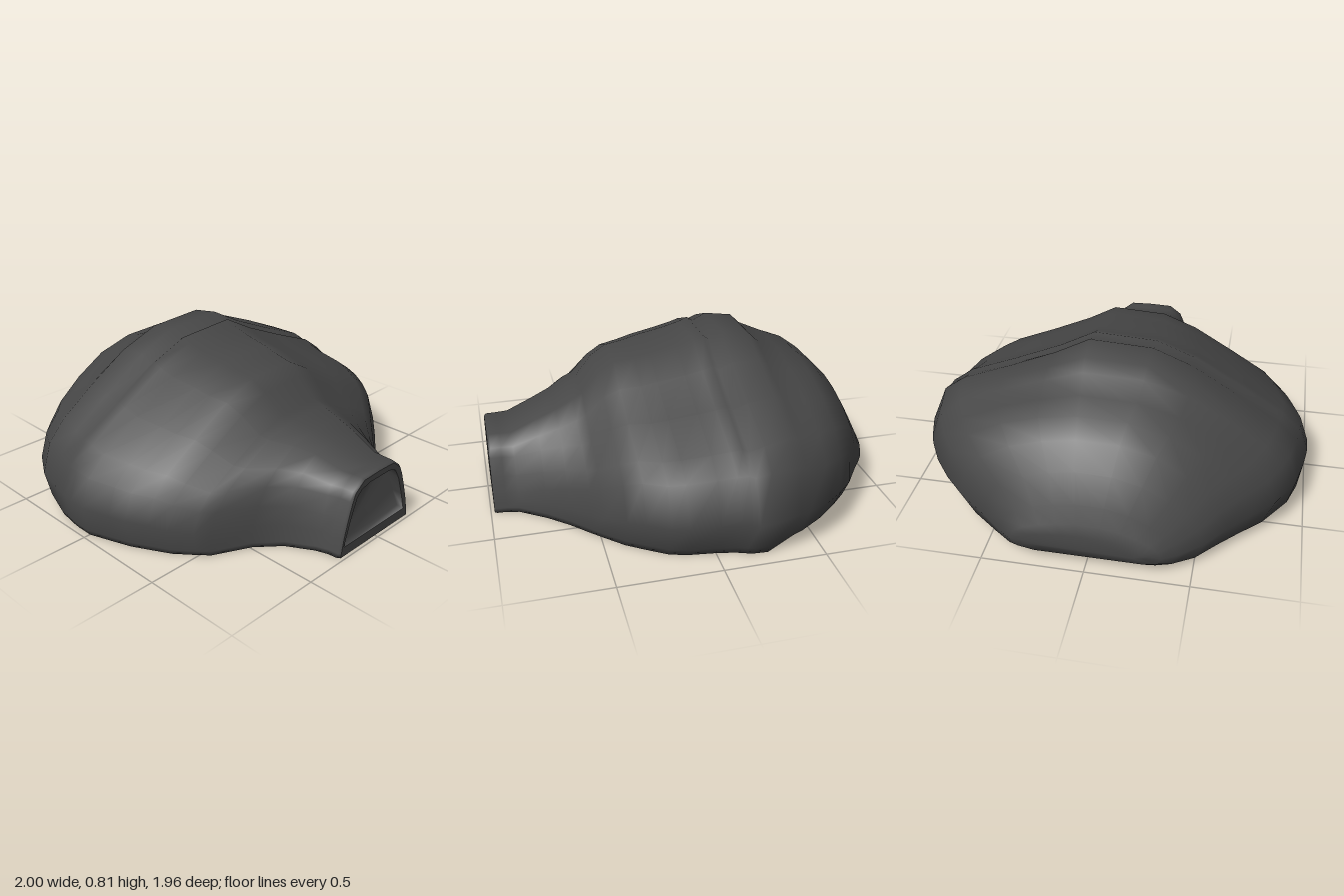
import * as THREE from 'three';

// Cross-section outlines: [side, height] from the -x foot over the top to the +x foot
const MOUTH = [[-1, 0], [-.985, .06], [-.93, .28], [-.85, .5], [-.75, .74], [-.68, .86], [-.45, .99], [0, 1],
  [.42, .99], [.64, .86], [.72, .74], [.83, .5], [.92, .28], [.96, .15], [.985, .06], [1, 0]];
const TENT = [[-.965, 0], [-.98, .045], [-1, .22], [-.95, .41], [-.85, .535], [-.64, .7], [-.4, .88], [-.2, .98],
  [.12, 1], [.3, .88], [.55, .745], [.8, .62], [.91, .52], [1, .26], [.935, .05], [.92, 0]];
const ROUND = [[-.76, 0], [-.93, .07], [-1, .26], [-.95, .45], [-.85, .6], [-.68, .76], [-.46, .91], [-.2, .99],
  [.12, 1], [.36, .95], [.6, .86], [.82, .72], [.95, .54], [1, .28], [.9, .08], [.68, 0]];

// Stations front to back: [z, left reach, right reach, top, underside]
const STATIONS = [
  [.982, .265, .265, .36, 0], [.97, .275, .272, .37, 0], [.92, .28, .275, .37, 0], [.86, .3, .29, .37, 0],
  [.73, .38, .39, .43, 0], [.63, .5, .49, .47, 0],
  [.54, .69, .6, .51, 0], [.49, .74, .66, .535, 0], [.4, .82, .76, .635, 0], [.32, .865, .82, .685, 0],
  [.22, .92, .89, .7, 0], [.14, .95, .92, .72, 0], [0, 1, .94, .745, 0], [-.09, 1, .96, .77, 0],
  [-.14, .995, .98, .79, 0], [-.17, .99, .99, .77, 0], [-.24, .98, .995, .807, 0], [-.38, .95, .95, .785, 0],
  [-.43, .92, .93, .735, 0], [-.55, .85, .86, .68, 0], [-.66, .74, .77, .64, 0], [-.75, .64, .67, .575, 0],
  [-.85, .54, .52, .47, .005], [-.92, .43, .42, .34, .025], [-.96, .36, .36, .25, .06], [-.98, .3, .3, .2, .11]
];

// Doorway outline from its left foot over the top to its right foot
const OPENING = [[-.245, .05], [-.205, .18], [-.165, .285], [-.13, .315], [-.07, .328], [.08, .328],
  [.13, .31], [.165, .25], [.2, .15], [.23, .05]];
const FRONT = STATIONS[0][0];

const clamp01 = t => Math.min(1, Math.max(0, t));

// Points of one cross-section, blended between the outlines by depth
function section([z, left, right, top, base]) {
  const toMouth = clamp01((z - .45) / .42), toRound = clamp01((-.25 - z) / .4);
  return TENT.map((p, i) => {
    const other = toMouth > 0 ? MOUTH[i] : ROUND[i], t = Math.max(toMouth, toRound);
    const u = p[0] + (other[0] - p[0]) * t, v = p[1] + (other[1] - p[1]) * t;
    return [u * (u < 0 ? left : right), base + v * (top - base), z];
  });
}

function surface(points, index) {
  const g = new THREE.BufferGeometry();
  g.setAttribute('position', new THREE.Float32BufferAttribute(points.flat(), 3));
  g.setIndex(index);
  g.computeVertexNormals();
  return g;
}

export function createModel() {
  const model = new THREE.Group();
  model.name = 'caveMound';
  const rock = new THREE.MeshStandardMaterial({ color: 0x474747 });
  rock.name = 'dark rock';
  const add = (name, geometry) => {
    const m = new THREE.Mesh(geometry, rock);
    m.name = name;
    model.add(m);
    return m;
  };

  // Mound lofted through the stations; each loop closes along the ground into a smooth underside
  const rings = STATIONS.map(section), n = TENT.length, last = (rings.length - 1) * n;
  const skin = [];
  for (let i = 0; i < rings.length - 1; i++) {
    for (let j = 0; j < n; j++) {
      const a = i * n + j, b = i * n + (j + 1) % n;
      skin.push(a, b, a + n, b, b + n, a + n);
    }
  }
  for (let j = 1; j < n - 1; j++) skin.push(last, last + j, last + j + 1);
  add('mound', surface(rings.flat(), skin));

  // Flat rim around the doorway
  const rim = new THREE.Shape(rings[0].map(p => new THREE.Vector2(p[0], p[1])));
  rim.holes.push(new THREE.Path(OPENING.map(p => new THREE.Vector2(...p))));
  add('entranceRim', new THREE.ShapeGeometry(rim)).position.z = FRONT;

  // Hollow behind the rim: short sides running smoothly into a slightly leaning back wall
  const outer = OPENING.map(([x, y]) => [x, y, FRONT]);
  const inner = OPENING.map(([x, y]) => [x * .96, .06 + (y - .05) * .95, .95 - (y - .05) * .15]);
  const m = OPENING.length, hollow = [];
  for (let j = 0; j < m; j++) {
    const k = (j + 1) % m;
    hollow.push(j, j + m, k, k, j + m, k + m);
  }
  for (let j = 1; j < m - 1; j++) hollow.push(m, m + j + 1, m + j);
  add('entranceHollow', surface([...outer, ...inner], hollow));
  return model;
}
